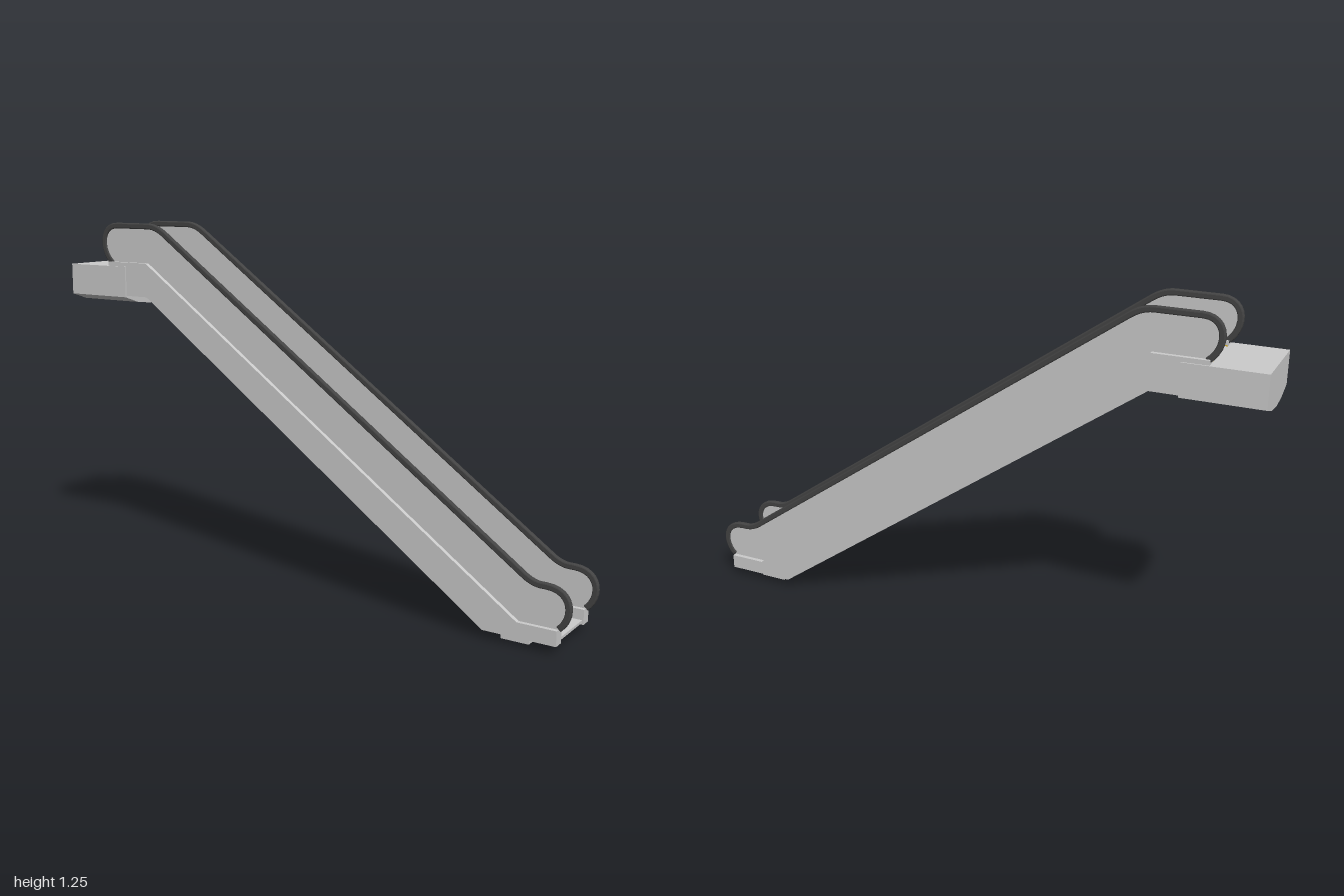
import * as THREE from 'three';

const grey = new THREE.MeshStandardMaterial({ color: 0xcccccc });
const dark = new THREE.MeshStandardMaterial({ color: 0x444444 });
const yellow = new THREE.MeshStandardMaterial({ color: 0xc9a227 });

const STEPS = 28, RUN = 0.0525, RISE = 0.0365, X0 = -0.66, Y0 = 1.09;

// Side profile (x, y) extruded between two z positions
function slab(name, points, z0, z1, material, bevel = 0) {
  const shape = new THREE.Shape(points.map(p => Array.isArray(p) ? new THREE.Vector2(...p) : p));
  const geometry = new THREE.ExtrudeGeometry(shape, {
    depth: z1 - z0 - 2 * bevel, bevelEnabled: bevel > 0,
    bevelSize: bevel, bevelThickness: bevel, bevelOffset: -bevel, bevelSegments: 2,
  });
  geometry.translate(0, 0, z0 + bevel);
  const mesh = new THREE.Mesh(geometry, material);
  mesh.name = name;
  return mesh;
}

function box(name, x0, x1, y0, y1, z0, z1, material) {
  const mesh = new THREE.Mesh(new THREE.BoxGeometry(x1 - x0, y1 - y0, z1 - z0), material);
  mesh.position.set((x0 + x1) / 2, (y0 + y1) / 2, (z0 + z1) / 2);
  mesh.name = name;
  return mesh;
}

// Centre line of the handrail: rounded newel, level, slope, level, rounded newel
function railPoints() {
  const path = new THREE.Path();
  path.moveTo(-0.81, 1.1);
  path.bezierCurveTo(-0.865, 1.14, -0.865, 1.235, -0.785, 1.235);
  path.lineTo(-0.64, 1.235);
  path.quadraticCurveTo(-0.603, 1.235, -0.565, 1.209);
  path.lineTo(0.84, 0.2295);
  path.quadraticCurveTo(0.871, 0.208, 0.9, 0.208);
  path.lineTo(0.915, 0.208);
  path.bezierCurveTo(1.004, 0.208, 1.004, 0.12, 0.96, 0.082);
  return path.getPoints(12);
}

// Closed outline of constant thickness around an open line
function ribbon(points, half) {
  const offset = s => points.map((p, i) => {
    const a = points[Math.max(i - 1, 0)], b = points[Math.min(i + 1, points.length - 1)];
    const t = b.clone().sub(a).normalize();
    return new THREE.Vector2(p.x - t.y * s, p.y + t.x * s);
  });
  return [...offset(half), ...offset(-half).reverse()];
}

// Stair line from the upper landing down to the lower floor
function stairLine(lift) {
  const line = [[-0.82, Y0 + lift], [X0 + lift, Y0 + lift]];
  for (let i = 1; i <= STEPS; i++) {
    const y = Y0 - i * RISE + lift;
    line.push([X0 + (i - 1) * RUN + lift, y], [X0 + i * RUN + lift, y]);
  }
  return line;
}

export function createModel() {
  const model = new THREE.Group();
  model.name = 'escalator';
  const rail = railPoints();

  // Balustrades: truss cladding, panel and handrail on each side
  const cladding = [[-0.82, 1.105], [-0.64, 1.105], [0.83, 0.08], [0.96, 0.08],
    [0.96, 0.03], [0.715, 0.03], [-0.64, 0.985], [-0.82, 0.985]];
  const panel = [...rail, [0.96, 0.07], [0.825, 0.07], [-0.645, 1.095], [-0.81, 1.095]];
  for (const side of [1, -1]) {
    const half = new THREE.Group();
    half.name = side > 0 ? 'frontBalustrade' : 'backBalustrade';
    const at = (name, pts, a, b, mat, bevel) =>
      half.add(slab(name, pts, Math.min(side * a, side * b), Math.max(side * a, side * b), mat, bevel));
    at('trussCladding', cladding, 0.089, 0.127, grey);
    at('panel', panel, 0.104, 0.112, grey);
    at('handrail', ribbon(rail, 0.01), 0.099, 0.117, dark, 0.004);

    // Safety edging along the step ends
    const edge = [...stairLine(0.002), [0.812, 0.045], [0.76, 0.05], [X0, 1.04], [-0.82, 1.07]];
    at('stepEdging', edge, 0.084, 0.0895, yellow);
    model.add(half);
  }

  // Steps with the sloping underside
  model.add(slab('steps', [...stairLine(0), [0.81, 0.04], [0.715, 0.04],
    [-0.64, 0.995], [-0.82, 0.995]], -0.089, 0.089, grey));

  // Lower landing and its support
  model.add(box('lowerFloorPlate', 0.8, 0.955, 0.036, 0.045, -0.09, 0.09, grey));
  model.add(box('lowerCombPlate', 0.8, 0.86, 0.044, 0.05, -0.086, 0.086, grey));
  model.add(box('baseSupport', 0.76, 0.855, 0, 0.042, -0.087, 0.087, grey));
  model.add(box('lowerCrossPlate', 0.715, 0.77, 0.026, 0.041, -0.089, 0.089, grey));

  // Upper machine box with a curved underside
  const section = [[0.132, 1.09], [-0.132, 1.09]];
  for (let i = 0; i <= 4; i++) {
    const u = i / 2 - 1;
    section.push([0.132 * u, 0.95 + 0.03 * u * u]);
  }
  const machine = slab('machineBox', section, 0, 0.265, grey);
  machine.geometry.rotateY(-Math.PI / 2).translate(-0.735, 0, 0);
  model.add(machine);

  return model;
}
